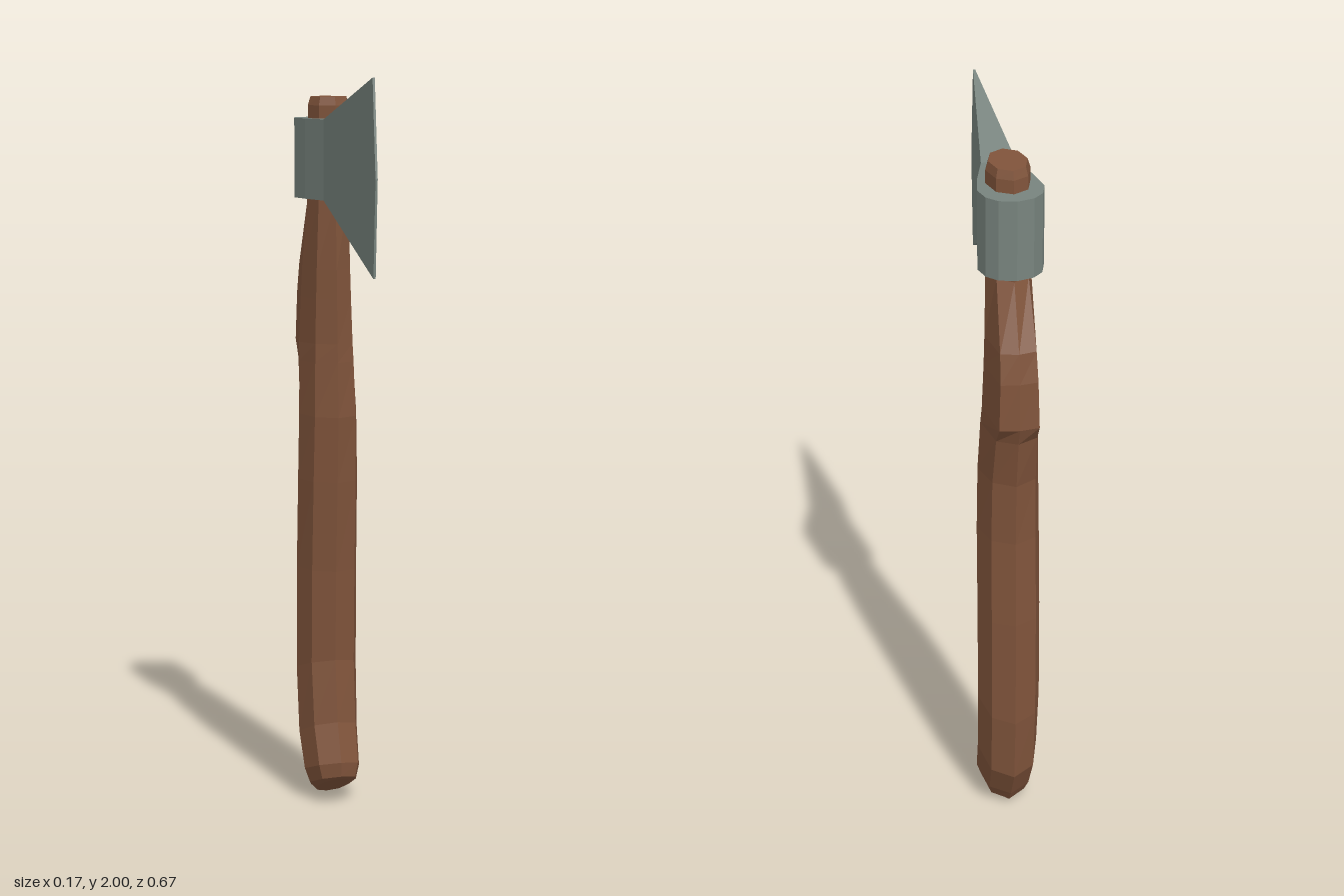
import * as THREE from 'three';

const wood = new THREE.MeshStandardMaterial({ color: 0x80543b, flatShading: true, roughness: 0.9 });
const steel = new THREE.MeshStandardMaterial({ color: 0x78847e, flatShading: true, roughness: 0.9 });

// Handle cross-sections from the foot up:
// [front z, front y, back z, back y, half width, reach of the rear corners]
const SECTIONS = [
  [-0.035, 0.075, -0.185, 0.0, 0.045, 0.72],
  [-0.022, 0.085, -0.205, 0.015, 0.066, 0.72],
  [-0.02, 0.125, -0.228, 0.05, 0.078, 0.72],
  [-0.06, 0.23, -0.275, 0.14, 0.083, 0.72],
  [-0.085, 0.4, -0.29, 0.33, 0.085, 0.72],
  [-0.077, 0.65, -0.29, 0.65, 0.085, 0.72],
  [-0.06, 0.9, -0.281, 0.9, 0.084, 0.72],
  [-0.05, 1.08, -0.288, 1.08, 0.081, 0.72],
  [-0.057, 1.23, -0.313, 1.22, 0.076, 0.8],
  [-0.06, 1.28, -0.332, 1.27, 0.074, 0.95],
  [-0.065, 1.4, -0.328, 1.4, 0.069, 0.95],
  [-0.069, 1.48, -0.315, 1.48, 0.066, 0.92],
  [-0.08, 1.67, -0.25, 1.65, 0.058, 0.72],
  [-0.08, 1.92, -0.238, 1.92, 0.057, 0.72],
  [-0.088, 1.943, -0.23, 1.943, 0.05, 0.72],
];

function loftHandle() {
  const sides = 8, pos = [], idx = [];
  for (const [fz, fy, bz, by, w, reach] of SECTIONS) {
    for (let i = 0; i < sides; i++) {
      const a = (i / sides) * Math.PI * 2;
      let u = Math.cos(a);
      if (i === 3 || i === 5) u = -reach;
      const t = (1 - u) / 2;
      pos.push(w * Math.sin(a), fy + (by - fy) * t, fz + (bz - fz) * t);
    }
  }
  const last = SECTIONS.length - 1;
  for (let j = 0; j < last; j++) {
    for (let i = 0; i < sides; i++) {
      const a = j * sides + i, b = j * sides + ((i + 1) % sides);
      idx.push(a, b, b + sides, a, b + sides, a + sides);
    }
  }
  // end caps
  for (let i = 1; i < sides - 1; i++) {
    const t = last * sides;
    idx.push(0, i + 1, i, t, t + i, t + i + 1);
  }
  const geo = new THREE.BufferGeometry();
  geo.setAttribute('position', new THREE.Float32BufferAttribute(pos, 3));
  geo.setIndex(idx);
  const flat = geo.toNonIndexed();
  flat.computeVertexNormals();
  return flat;
}

// Collar outline seen from above, [x, z] on the left half, front to back
function collarGeometry() {
  const half = [[0.045, -0.035], [0.072, -0.13], [0.085, -0.2], [0.072, -0.245], [0.045, -0.272]];
  const mirrored = half.map(([x, z]) => [-x, z]).reverse();
  const outline = [...half, [0, -0.284], ...mirrored].map(([x, z]) => new THREE.Vector2(x, -z));
  const geo = new THREE.ExtrudeGeometry(new THREE.Shape(outline), { depth: 0.215, bevelEnabled: false });
  geo.rotateX(-Math.PI / 2);
  geo.translate(0, 1.67, 0);
  return geo;
}

// Blade side profile in [z, y], tapered to a thin cutting edge
function bladeGeometry() {
  const side = [[-0.035, 1.67], [0.317, 1.49], [0.335, 1.745], [0.305, 2.0], [-0.035, 1.885]];
  const shape = new THREE.Shape(side.map(([z, y]) => new THREE.Vector2(z, y)));
  const geo = new THREE.ExtrudeGeometry(shape, { depth: 1, bevelEnabled: false });
  geo.translate(0, 0, -0.5);
  geo.rotateY(-Math.PI / 2);
  const p = geo.attributes.position;
  for (let i = 0; i < p.count; i++) {
    p.setX(i, Math.sign(p.getX(i)) * (p.getZ(i) > 0 ? 0.003 : 0.045));
  }
  geo.computeVertexNormals();
  return geo;
}

export function createModel() {
  const model = new THREE.Group();
  model.name = 'axe';
  const add = (name, geo, mat, parent) => {
    const mesh = new THREE.Mesh(geo, mat);
    mesh.name = name;
    parent.add(mesh);
  };
  add('handle', loftHandle(), wood, model);

  const head = new THREE.Group();
  head.name = 'axeHead';
  add('collar', collarGeometry(), steel, head);
  add('blade', bladeGeometry(), steel, head);
  model.add(head);
  return model;
}
